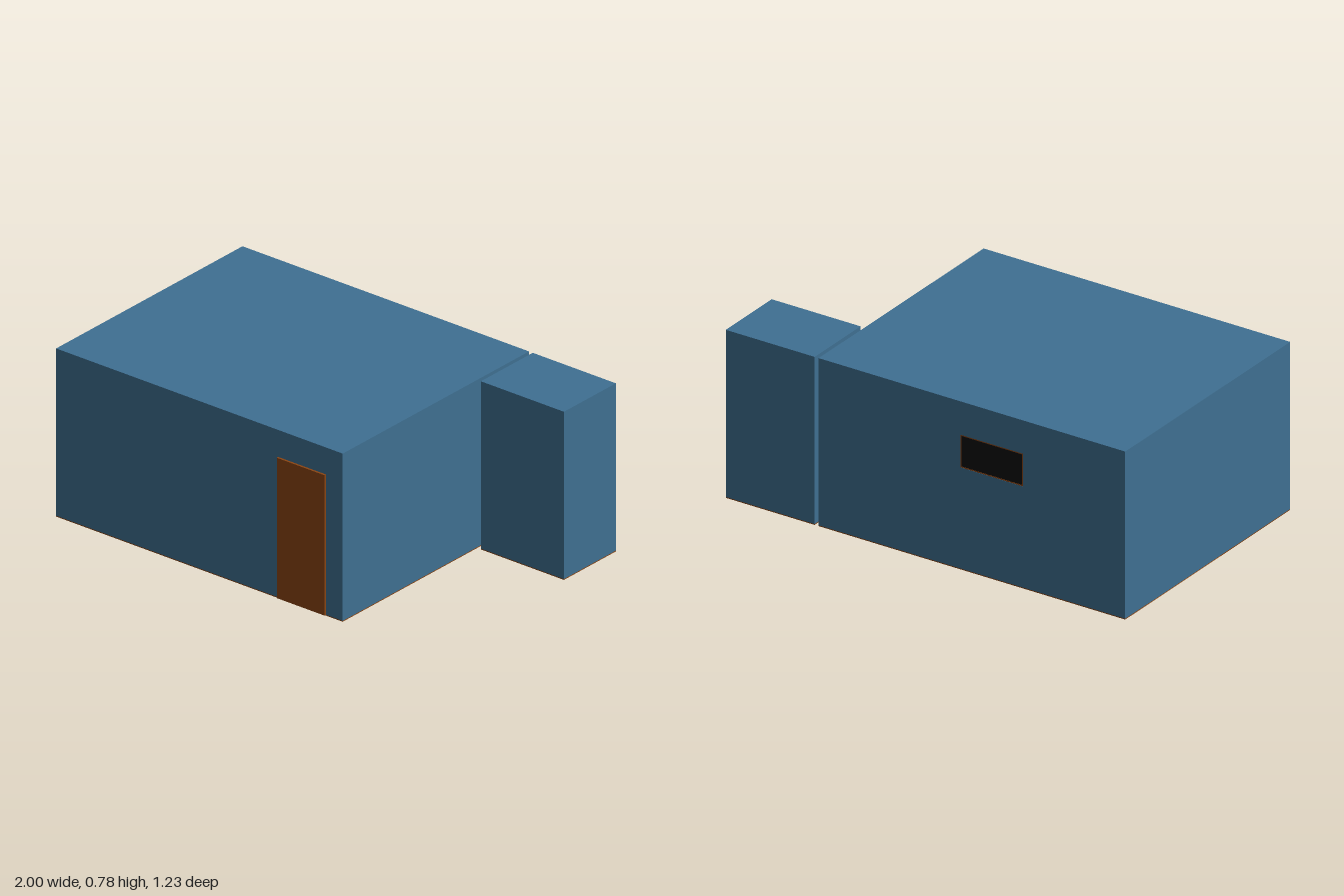
import * as THREE from 'three';

const BLUE = new THREE.MeshStandardMaterial({ color: 0x3f7092 });
const BROWN = new THREE.MeshStandardMaterial({ color: 0x8b4513 });
const BLACK = new THREE.MeshStandardMaterial({ color: 0x0a0a0a });

// Box given by its [min, max] range on each axis
function box(name, material, [x0, x1], [y0, y1], [z0, z1]) {
  const mesh = new THREE.Mesh(new THREE.BoxGeometry(x1 - x0, y1 - y0, z1 - z0), material);
  mesh.name = name;
  mesh.position.set((x0 + x1) / 2, (y0 + y1) / 2, (z0 + z1) / 2);
  return mesh;
}

function rectangle(target, [x0, x1], [y0, y1]) {
  target.moveTo(x0, y0);
  target.lineTo(x1, y0);
  target.lineTo(x1, y1);
  target.lineTo(x0, y1);
  target.closePath();
  return target;
}

// Flat panel with a rectangular opening, extruded along z
function panelWithOpening(name, material, xs, ys, holeXs, holeYs, [z0, z1]) {
  const shape = rectangle(new THREE.Shape(), xs, ys);
  shape.holes.push(rectangle(new THREE.Path(), holeXs, holeYs));
  const geometry = new THREE.ExtrudeGeometry(shape, { depth: z1 - z0, bevelEnabled: false });
  const mesh = new THREE.Mesh(geometry, material);
  mesh.name = name;
  mesh.position.z = z0;
  return mesh;
}

export function createModel() {
  const model = new THREE.Group();
  model.name = 'building';
  const floorTop = 0.004, top = 0.78, back = -0.615;
  const mainX = [-1, 0.535], annexX = [0.555, 1];
  const windowX = [-0.488, -0.175], windowY = [0.473, 0.625];
  const inset = 0.005;
  const paneX = [windowX[0] + inset, windowX[1] - inset];
  const paneY = [windowY[0] + inset, windowY[1] - inset];

  // Main block, its back wall opened for the window
  const main = new THREE.Group();
  main.name = 'mainBuilding';
  main.add(
    box('floor', BROWN, mainX, [0, floorTop], [back, 0.605]),
    box('mainBlock', BLUE, mainX, [floorTop, top], [back + 0.015, 0.605]),
    panelWithOpening('backWall', BLUE, mainX, [floorTop, top], windowX, windowY, [back, back + 0.015]),
    panelWithOpening('windowFrame', BROWN, windowX, windowY, paneX, paneY, [back + 0.001, back + 0.015]),
    box('windowPane', BLACK, paneX, paneY, [back + 0.002, back + 0.015]),
    box('frontDoor', BROWN, [0.19, 0.445], [0.004, 0.655], [0.605, 0.615]),
    box('sideDoor', BROWN, [0.535, 0.545], [0.004, 0.655], [-0.575, -0.315]),
  );

  // Small annex standing a door's thickness away
  const annex = new THREE.Group();
  annex.name = 'annex';
  annex.add(
    box('annexFloor', BROWN, annexX, [0, floorTop], [back, -0.275]),
    box('annexBlock', BLUE, annexX, [floorTop, top], [back, -0.275]),
    box('annexDoor', BROWN, [0.546, 0.555], [0.02, 0.675], [-0.575, -0.315]),
  );

  model.add(main, annex);
  return model;
}
